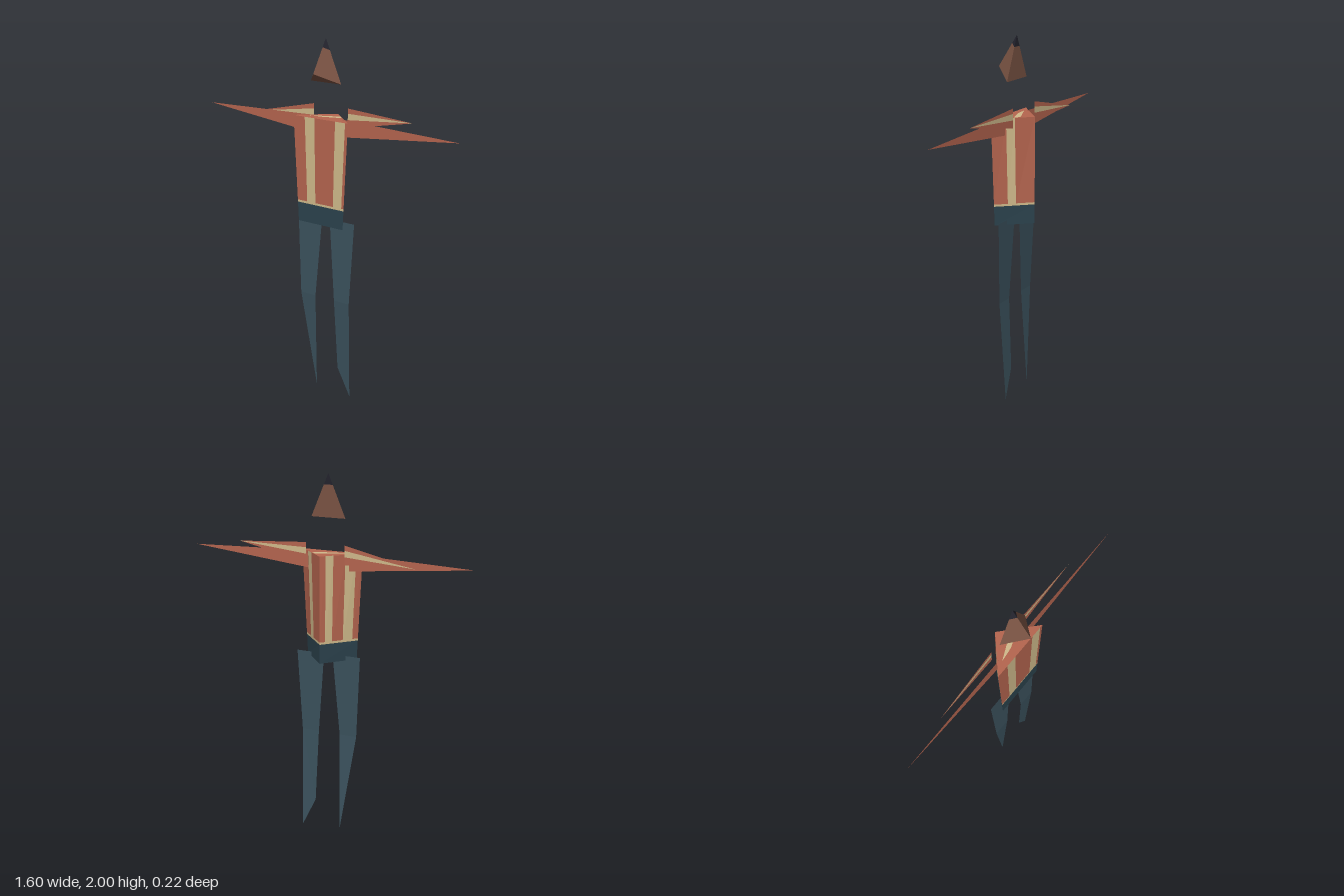
import * as THREE from 'three';

function makeMaterial(name, color) {
  const m = new THREE.MeshStandardMaterial({ color, side: THREE.DoubleSide });
  m.name = name;
  return m;
}

// Flat-faced mesh from a list of convex polygons, each cut into a triangle fan
function facets(name, material, polygons) {
  const pos = [];
  for (const p of polygons) {
    for (let i = 1; i < p.length - 1; i++) pos.push(...p[0], ...p[i], ...p[i + 1]);
  }
  const g = new THREE.BufferGeometry();
  g.setAttribute('position', new THREE.Float32BufferAttribute(pos, 3));
  g.computeVertexNormals();
  const mesh = new THREE.Mesh(g, material);
  mesh.name = name;
  return mesh;
}

const lerp = (a, b, t) => a.map((v, i) => v + (b[i] - v) * t);

export function createModel() {
  const red = makeMaterial('shirt red', 0xb5654f);
  const cream = makeMaterial('stripe cream', 0xd0ba8b);
  const navy = makeMaterial('trouser blue', 0x3a515c);
  const waist = makeMaterial('waist blue', 0x2b424d);
  const skin = makeMaterial('skin brown', 0x7a5343);
  const hair = makeMaterial('hair black', 0x23232d);
  const model = new THREE.Group();
  model.name = 'figure';

  // Head: a tetrahedron with a dark tip
  const top = [0, 2, 0];
  const base = [[-0.097, 1.77, 0], [0, 1.83, 0.11], [0.097, 1.77, 0]];
  const cut = base.map((p) => lerp(top, p, 0.26));
  const skinFaces = [[base[2], base[1], base[0]]];
  const hairFaces = [];
  for (let i = 0; i < 3; i++) {
    const j = (i + 1) % 3;
    skinFaces.push([base[i], base[j], cut[j], cut[i]]);
    hairFaces.push([cut[i], cut[j], top]);
  }
  model.add(facets('head', skin, skinFaces), facets('hair', hair, hairFaces));

  // Torso: a tapering three-sided prism, flat at the front
  const yTop = 1.585;
  const section = (y) => {
    const w = 0.145 + 0.03 * (y - 1) / 0.585;
    return [[-w, y, 0.05], [w, y, 0.05], [0, y, -0.11]];
  };
  const wall = (side, t0, t1, y0, y1) => {
    const at = (t, y) => {
      const s = section(y);
      return lerp(s[side], s[(side + 1) % 3], t);
    };
    return [at(t0, y0), at(t1, y0), at(t1, y1), at(t0, y1)];
  };
  // Alternating red and cream divisions along each wall
  const divisions = [
    [0, 0.21, 0.39, 0.77, 0.95, 1],
    [0, 0.34, 0.54, 1],
    [0, 0.14, 0.32, 0.6, 0.85, 1],
  ];
  const shirt = [], stripes = [], belt = [];
  divisions.forEach((d, side) => {
    belt.push(wall(side, 0, 1, 1.005, 1.11));
    stripes.push(wall(side, 0, 1, 1.11, 1.122));
    for (let i = 0; i < d.length - 1; i++) {
      (i % 2 ? stripes : shirt).push(wall(side, d[i], d[i + 1], 1.122, yTop));
    }
  });
  shirt.push(section(yTop));
  belt.push(section(1.005).reverse());
  // Cream band across the shoulders
  const capY = yTop + 0.002;
  stripes.push([[-0.1, capY, 0.015], [-0.02, capY, 0.005], [0.08, capY, -0.03], [0.055, capY, -0.055]]);
  model.add(facets('shirt', red, shirt), facets('shirtStripes', cream, stripes), facets('waistband', waist, belt));

  for (const [side, s] of [['left', 1], ['right', -1]]) {
    // Arm: a long flat triangle
    model.add(facets(side + 'Arm', red, [
      [[s * 0.105, 1.588, 0], [s * 0.105, 1.494, 0], [s * 0.8, 1.565, -0.002]],
    ]));

    // Shoulder blade: a striped flat triangle behind the arm
    const tip = [s * 0.505, s > 0 ? 1.615 : 1.55, -0.042];
    const edge = [1.64, 1.612, 1.578, 1.535].map((y) => [s * 0.11, y, -0.042]);
    const wedge = (i) => [edge[i], edge[i + 1], tip];
    model.add(
      facets(side + 'ShoulderBlade', red, [wedge(0), wedge(2)]),
      facets(side + 'ShoulderStripe', cream, [wedge(1)]),
    );
  }

  // Legs: flat panels with a slight bend at the knee
  const thigh = (s) => [[s * 0.185, 1.03, 0], [s * 0.025, 1.03, 0], [s * 0.063, 0.57, 0.012], [s * 0.162, 0.57, 0.012]];
  const leftKnee = thigh(1).slice(2), rightKnee = thigh(-1).slice(2);
  model.add(
    facets('leftLeg', navy, [
      thigh(1),
      [leftKnee[1], leftKnee[0], [0.075, 0.16, -0.008], [0.15, 0, -0.018]],
    ]),
    facets('rightLeg', navy, [
      thigh(-1),
      [rightKnee[1], rightKnee[0], [-0.077, 0.01, -0.018]],
    ]),
  );
  return model;
}
